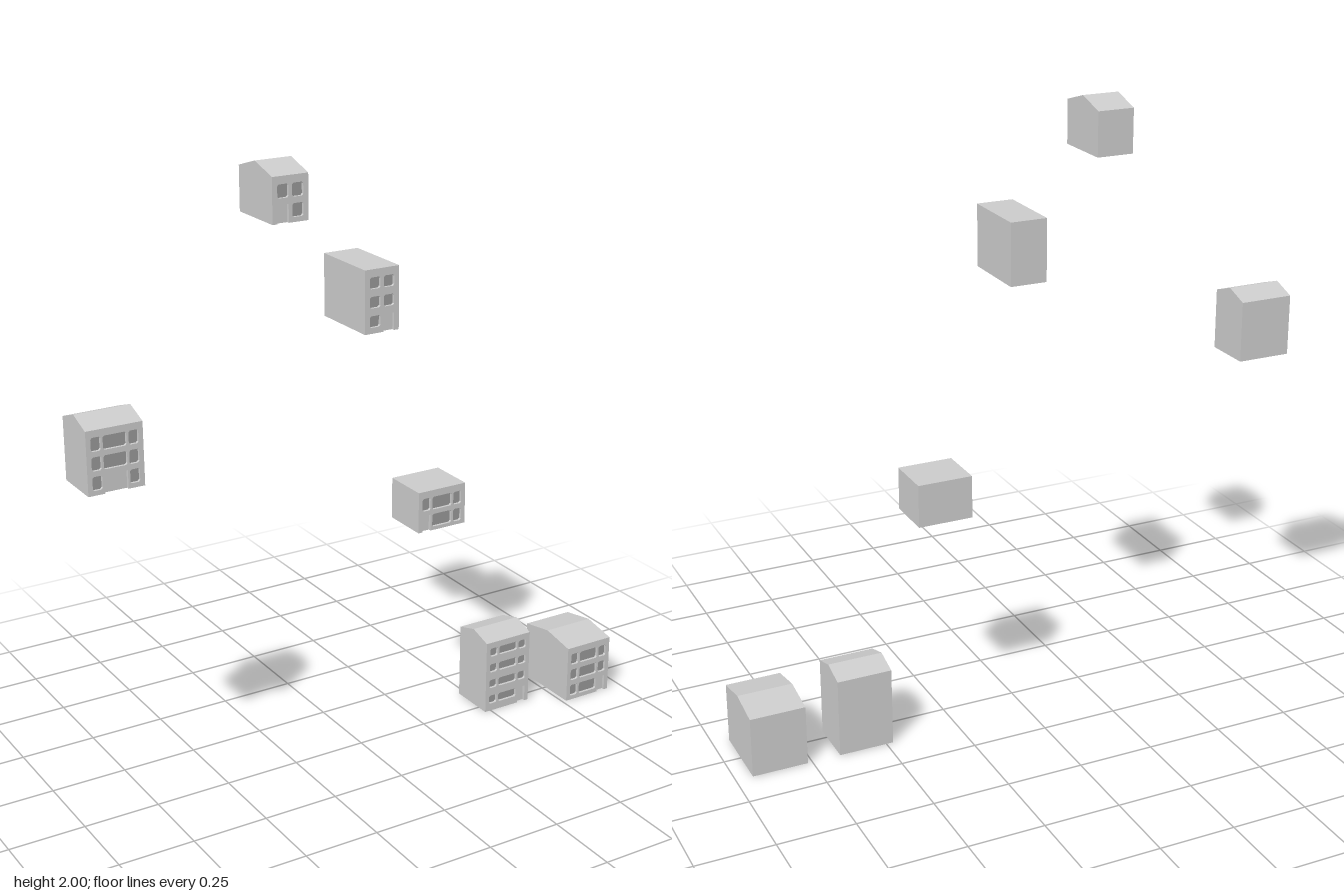
import * as THREE from 'three';

const BACK = -0.12, RECESS = 0.01, FLOOR = 0.06, STOREY = 0.366;
const wallMaterial = new THREE.MeshStandardMaterial({ color: 0xcccccc, flatShading: true });
const paneMaterial = new THREE.MeshStandardMaterial({ color: 0x999999, flatShading: true });

// Column spans [left, right] measured from the centre of the facade
const WIDE = [[-0.075, -0.044], [-0.037, 0.037], [0.044, 0.075]];
const NARROW = [[-0.043, -0.006], [0.006, 0.043]];

const HOUSES = [
  { x: -0.855, level: 3, width: 0.18, depth: 0.16, floors: 3, roof: 0.028, sill: 0.015, head: 0.058, door: 1 },
  { x: -0.288, level: 5, width: 0.12, depth: 0.20, floors: 2, roof: 0.03, sill: 0.015, head: 0.056, door: 0 },
  { x: 0, level: 4, width: 0.12, depth: 0.24, floors: 3, roof: 0, sill: 0.019, head: 0.055, door: 1 },
  { x: 0.283, level: 2, width: 0.18, depth: 0.16, floors: 2, roof: 0, sill: 0.012, head: 0.056, door: 0 },
  { x: 0.567, level: 0, width: 0.18, depth: 0.16, floors: 4, roof: 0.024, sill: 0.027, head: 0.058, door: 2 },
  { x: 0.855, level: 0, width: 0.18, depth: 0.24, floors: 3, roof: 0.022, sill: 0.015, head: 0.056, door: 2 },
];

function polygon(points) {
  return new THREE.Shape(points.map(([x, y]) => new THREE.Vector2(x, y)));
}

// Rectangle with clipped corners
function windowPoints([l, r], b, t) {
  const c = 0.005;
  return [[l + c, b], [r - c, b], [r, b + c], [r, t - c], [r - c, t], [l + c, t], [l, t - c], [l, b + c]];
}

function addMesh(parent, name, geometry, material) {
  const mesh = new THREE.Mesh(geometry, material);
  mesh.name = name;
  parent.add(mesh);
  return mesh;
}

function createHouse({ x, level, width, depth, floors, roof, sill, head, door }) {
  const house = new THREE.Group();
  house.name = 'house';
  const wall = floors * FLOOR + 0.02;
  const front = BACK + depth, inner = front - RECESS;

  // Solid body: side profile swept across the width, roof reaching the facade
  const profile = [[BACK, 0], [inner, 0], [inner, wall]];
  if (roof > 0) profile.push([front, wall], [(BACK + front) / 2, wall + roof]);
  profile.push([BACK, wall]);
  const body = new THREE.ExtrudeGeometry(polygon(profile), { depth: width, bevelEnabled: false });
  body.rotateY(-Math.PI / 2).translate(width / 2, 0, 0);
  addMesh(house, 'bodyAndRoof', body, wallMaterial);

  // Facade slab with a doorway notch open at the ground
  const columns = width > 0.15 ? WIDE : NARROW;
  const [dl, dr] = columns[door], h = width / 2;
  const facade = polygon([[-h, 0], [dl, 0], [dl, head], [dr, head], [dr, 0], [h, 0], [h, wall], [-h, wall]]);

  // Window openings and their panes
  for (let f = 0; f < floors; f++) {
    columns.forEach((span, i) => {
      if (f === 0 && i === door) return;
      const points = windowPoints(span, f * FLOOR + sill, f * FLOOR + head);
      facade.holes.push(polygon(points));
      const pane = addMesh(house, 'windowPane', new THREE.ShapeGeometry(polygon(points)), paneMaterial);
      pane.position.z = inner + 0.001;
    });
  }
  const slab = new THREE.ExtrudeGeometry(facade, { depth: RECESS, bevelEnabled: false });
  addMesh(house, 'facade', slab, wallMaterial).position.z = inner;

  house.position.set(x, level * STOREY, 0);
  return house;
}

export function createModel() {
  const model = new THREE.Group();
  model.name = 'houses';
  HOUSES.forEach((spec) => model.add(createHouse(spec)));
  return model;
}
